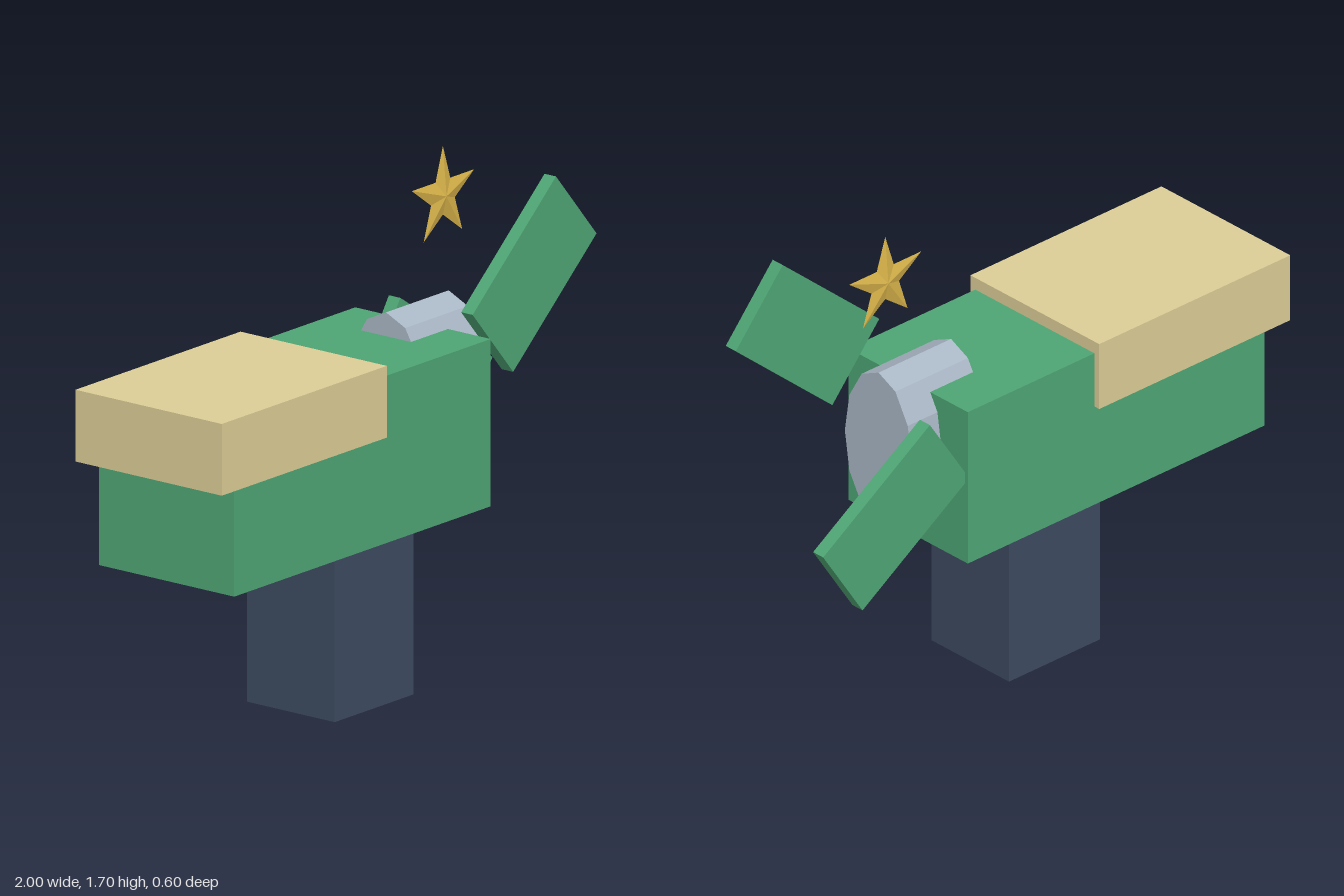
import * as THREE from 'three';

const GREEN = 0x4ea574, TAN = 0xdccd96, NAVY = 0x3c4a60, STEEL = 0xa9b6c4, GOLD = 0xd9b44a;

function addMesh(group, name, geometry, color) {
  const material = new THREE.MeshStandardMaterial({ color, flatShading: true });
  const mesh = new THREE.Mesh(geometry, material);
  mesh.name = name;
  group.add(mesh);
  return mesh;
}

function addBox(group, name, color, size, position, tilt = 0) {
  const mesh = addMesh(group, name, new THREE.BoxGeometry(...size), color);
  mesh.position.set(...position);
  mesh.rotation.z = THREE.MathUtils.degToRad(tilt);
  return mesh;
}

// Five-pointed star with a sharp rim, rising to a peak on both faces
function starGeometry(outer, inner, depth) {
  const rim = [];
  for (let i = 0; i < 10; i++) {
    const a = Math.PI / 2 + (i * Math.PI) / 5;
    const r = i % 2 ? inner : outer;
    rim.push([r * Math.cos(a), r * Math.sin(a), 0]);
  }
  const positions = [];
  rim.forEach((p, i) => {
    const q = rim[(i + 1) % 10];
    positions.push(...p, ...q, 0, 0, depth);
    positions.push(...q, ...p, 0, 0, -depth);
  });
  const geometry = new THREE.BufferGeometry();
  geometry.setAttribute('position', new THREE.Float32BufferAttribute(positions, 3));
  geometry.computeVertexNormals();
  return geometry;
}

export function createModel() {
  const model = new THREE.Group();
  model.name = 'model';

  // Post, body and the slab over the rear end
  addBox(model, 'post', NAVY, [0.395, 0.58, 0.36], [-0.0875, 0.29, 0]);
  addBox(model, 'body', GREEN, [1.29, 0.555, 0.555], [-0.265, 0.8575, 0]);
  addBox(model, 'topSlab', TAN, [0.83, 0.238, 0.6], [-0.585, 1.059, 0]);

  // Oval twelve-sided plug in the end of the body
  const plug = new THREE.CylinderGeometry(1, 1, 0.315, 12);
  plug.rotateZ(Math.PI / 2).scale(1, 0.277, 0.157);
  addMesh(model, 'ovalPlug', plug, STEEL).position.set(0.3515, 0.937, 0);

  // Thin flaps, one raised at the front and one lowered at the back
  const flap = [0.554, 0.312, 0.047];
  addBox(model, 'raisedFlap', GREEN, flap, [0.608, 1.296, 0.248], 40.8);
  addBox(model, 'loweredFlap', GREEN, flap, [0.766 - 0.087, 0.86, -0.241], -33.2);

  // Floating star
  addMesh(model, 'star', starGeometry(0.165, 0.063, 0.015), GOLD).position.set(0.48, 1.535, 0);

  return model;
}
